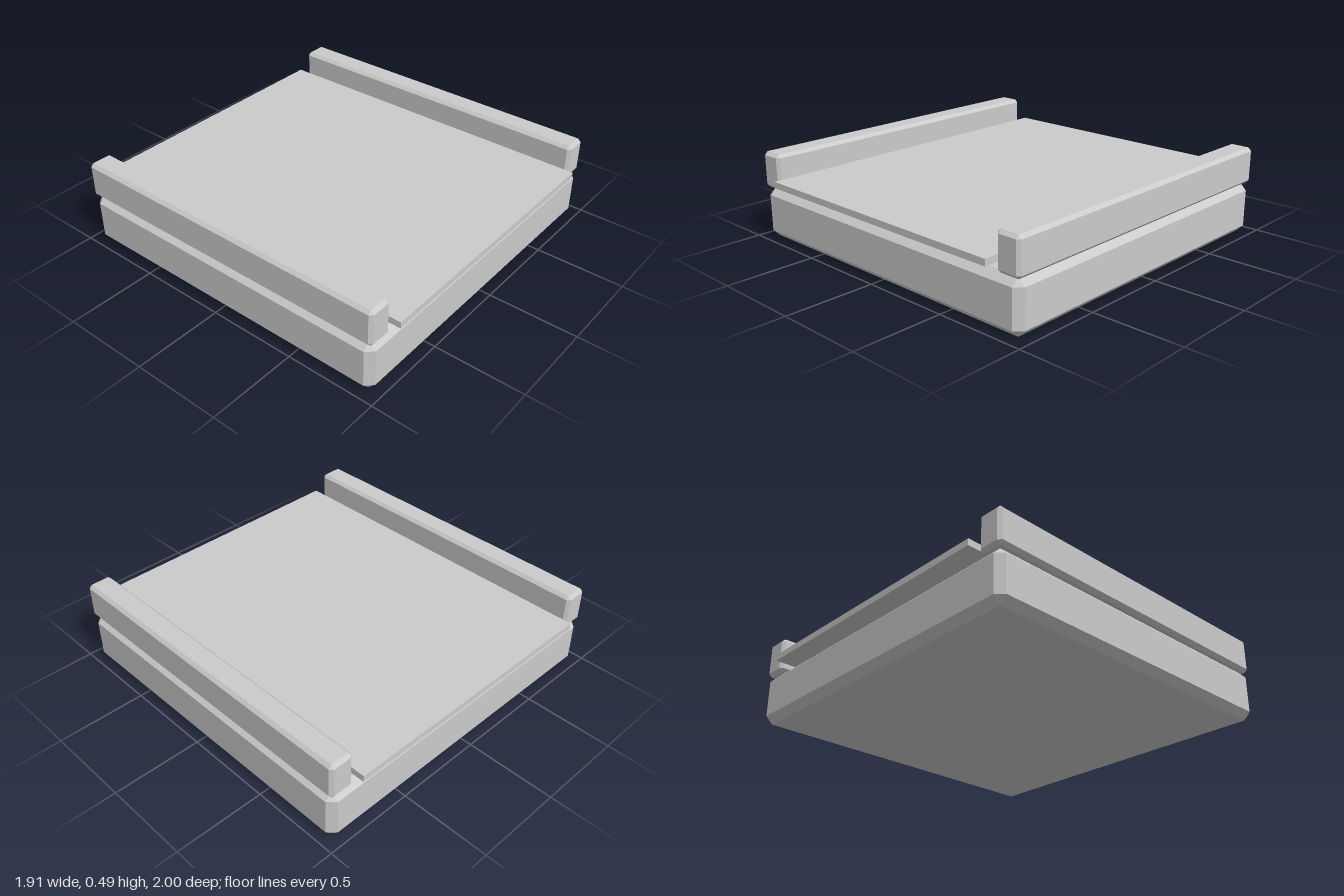
import * as THREE from 'three';
import { ConvexGeometry } from 'three/addons/geometries/ConvexGeometry.js';

const material = new THREE.MeshStandardMaterial({ color: 0xcccccc, flatShading: true });

// Box with every edge cut at 45 degrees: three corner points per corner
function chamferedBox(w, h, d, c) {
  const points = [];
  for (const sx of [-1, 1]) for (const sy of [-1, 1]) for (const sz of [-1, 1]) {
    for (let axis = 0; axis < 3; axis++) {
      const inset = [c, c, c];
      inset[axis] = 0;
      points.push(new THREE.Vector3(
        sx * (w / 2 - inset[0]), sy * (h / 2 - inset[1]), sz * (d / 2 - inset[2])));
    }
  }
  return new ConvexGeometry(points);
}

export function createModel() {
  const model = new THREE.Group();
  model.name = 'railedPlatform';

  const add = (name, geometry, x, y, z) => {
    const mesh = new THREE.Mesh(geometry, material);
    mesh.name = name;
    mesh.position.set(x, y, z);
    model.add(mesh);
  };

  // Heavy chamfered slab
  add('base', chamferedBox(1.914, 0.287, 1.914, 0.04), 0, 0.1435, 0);

  // Thin plate floating above the slab, between the rails
  add('topPlate', new THREE.BoxGeometry(1.595, 0.036, 2), 0, 0.341, 0);

  // Rails resting along both sides of the slab
  const railGeometry = chamferedBox(0.14, 0.204, 1.914, 0.018);
  for (const side of [-1, 1]) {
    add(side > 0 ? 'leftRail' : 'rightRail', railGeometry, side * 0.887, 0.389, 0);
  }

  return model;
}
